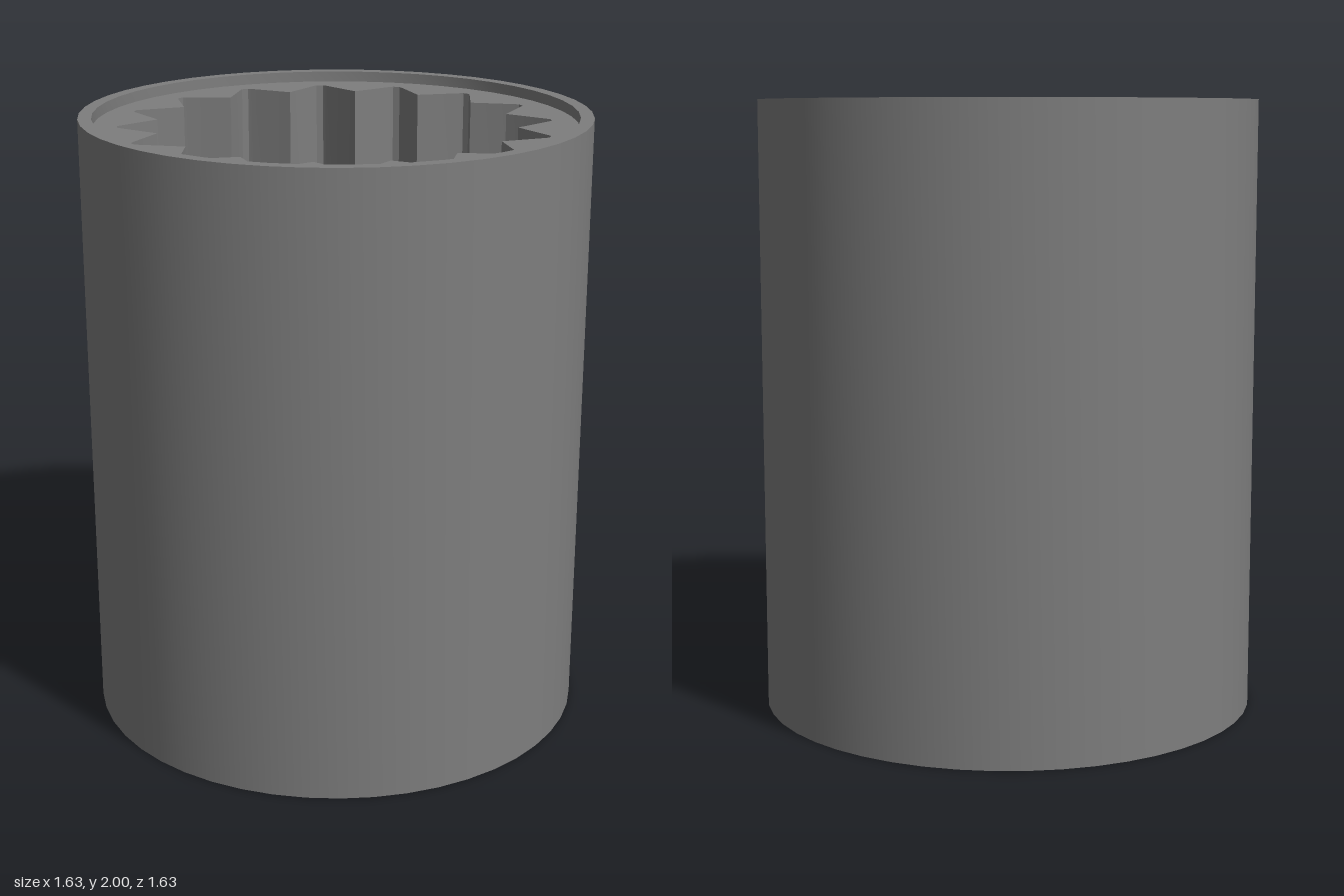
import * as THREE from 'three';
import { toCreasedNormals } from 'three/addons/utils/BufferGeometryUtils.js';

const R = 0.815, R_IN = 0.772;      // outer wall and rim lip radii
const FACE_Y = 1.965, STAR_Y = 1.15, DRIVE_Y = 0.95;
const SEG = 48;

export function createModel() {
  const model = new THREE.Group();
  const steel = new THREE.MeshStandardMaterial({ color: 0x7e7e7e });
  steel.name = 'steel grey';

  const add = (name, geometry, crease = 0.45) => {
    const mesh = new THREE.Mesh(toCreasedNormals(geometry, crease), steel);
    mesh.name = name;
    model.add(mesh);
    return mesh;
  };

  // Disc with one hole, standing between two heights
  const plate = (hole, y0, y1) => {
    const shape = new THREE.Shape().absarc(0, 0, R_IN, 0, Math.PI * 2);
    shape.holes.push(hole);
    return new THREE.ExtrudeGeometry(shape, { depth: y1 - y0, bevelEnabled: false, curveSegments: SEG })
      .rotateX(-Math.PI / 2).translate(0, y0, 0);
  };

  // Outer sleeve with a thin lip at both ends
  const profile = [[R_IN, 0], [R, 0], [R, 2], [R_IN, 2], [R_IN, FACE_Y]]
    .map(([x, y]) => new THREE.Vector2(x, y));
  add('outerSleeve', new THREE.LatheGeometry(profile, SEG));

  // Sixteen-point opening, with slightly blunted tips
  const star = [];
  for (let i = 0; i < 16; i++) {
    for (const [deg, r] of [[0, 0.577], [9.35, 0.682], [10.3, 0.693], [12.2, 0.693], [13.15, 0.682]]) {
      const a = THREE.MathUtils.degToRad(i * 22.5 + deg);
      star.push(new THREE.Vector2(r * Math.cos(a), r * Math.sin(a)));
    }
  }
  add('starOpening', plate(new THREE.Path(star), STAR_Y, FACE_Y), 0.3);

  // Inner web with the round through hole
  const bore = new THREE.Path().absarc(0, 0, 0.203, 0, Math.PI * 2, true);
  add('innerWeb', plate(bore, DRIVE_Y, STAR_Y));

  // Square drive hole opening into a countersunk mouth, lofted top to bottom
  const squareRadius = (a) =>
    Math.min(0.42 / Math.max(Math.abs(Math.cos(a)), Math.abs(Math.sin(a))), 0.575);
  const rings = [
    (a) => [squareRadius(a), DRIVE_Y],
    (a) => [squareRadius(a), 0.19 + (0.575 - squareRadius(a)) * 0.3],
    () => [0.585, 0.18],
    () => [R_IN, 0],
  ];
  const N = 96, positions = [], index = [];
  rings.forEach((ring, j) => {
    for (let i = 0; i < N; i++) {
      const a = (i / N) * Math.PI * 2;
      const [r, y] = ring(a);
      positions.push(r * Math.sin(a), y, r * Math.cos(a));
      if (j === 0) continue;
      const k = (i + 1) % N, p = (j - 1) * N, q = j * N;
      index.push(p + i, p + k, q + i, p + k, q + k, q + i);
    }
  });
  const drive = new THREE.BufferGeometry();
  drive.setAttribute('position', new THREE.Float32BufferAttribute(positions, 3));
  drive.setIndex(index);
  add('squareDrive', drive).rotation.y = -0.08;

  return model;
}
